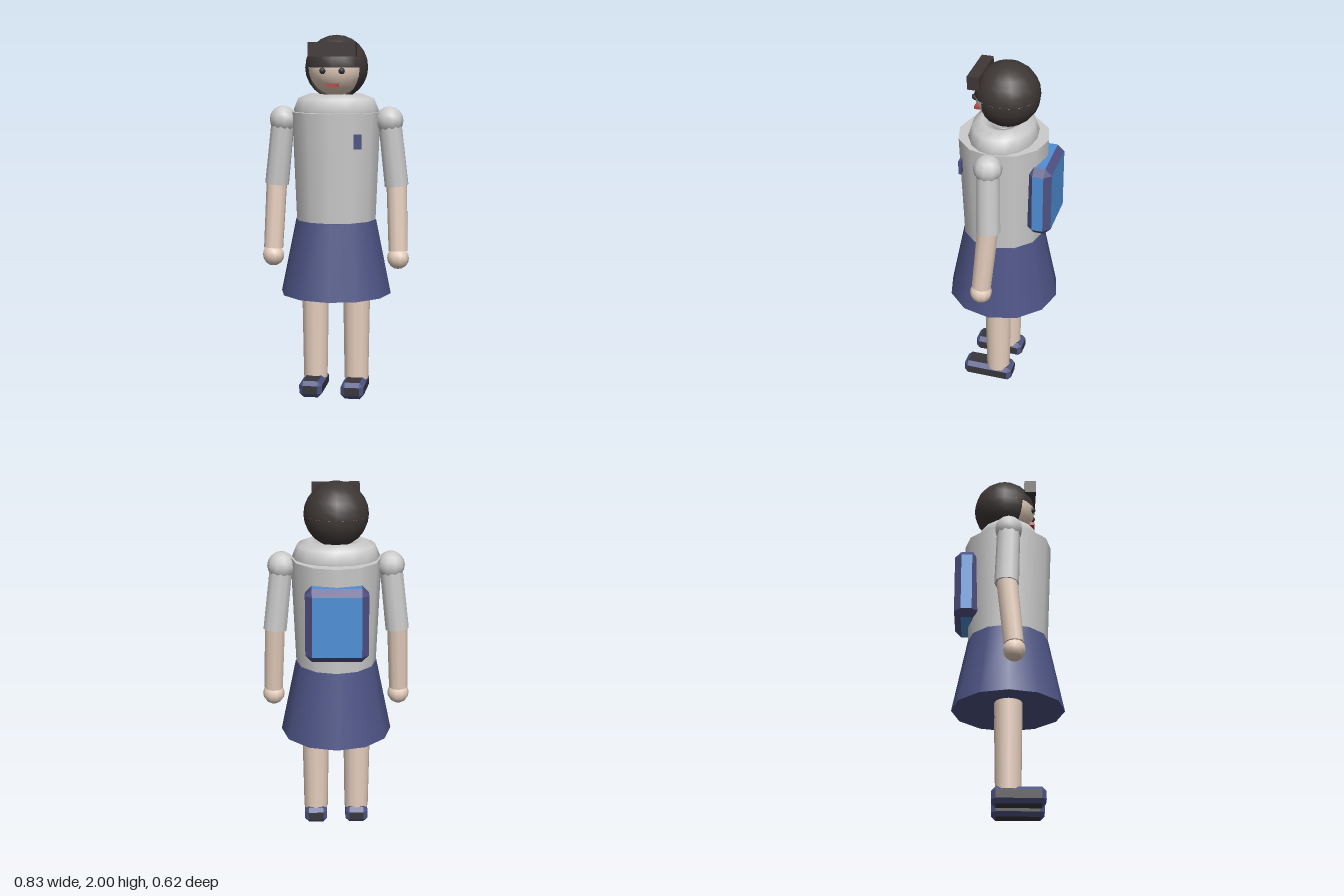
import * as THREE from 'three';
import { ConvexGeometry } from 'three/addons/geometries/ConvexGeometry.js';

const mat = (color, extra = {}) => new THREE.MeshStandardMaterial({ color, ...extra });
const grey = mat(0xcccccc), skin = mat(0xe6cfbe), navy = mat(0x4d5485), blue = mat(0x4f8fd6);
const trim = mat(0x4f5183), dark = mat(0x38363b), red = mat(0xb84848);
const hairMat = mat(0x3d3735, { side: THREE.DoubleSide });

function add(parent, name, geometry, material, x = 0, y = 0, z = 0) {
  const mesh = new THREE.Mesh(geometry, material);
  mesh.name = name;
  mesh.position.set(x, y, z);
  parent.add(mesh);
  return mesh;
}

// Tapered limb from point a (radius ra) to point b (radius rb)
function limb(parent, name, a, b, ra, rb, material, sides = 10) {
  const from = new THREE.Vector3(...a), to = new THREE.Vector3(...b);
  const axis = from.clone().sub(to);
  const mesh = add(parent, name, new THREE.CylinderGeometry(ra, rb, axis.length(), sides), material);
  mesh.position.copy(from).add(to).multiplyScalar(0.5);
  mesh.quaternion.setFromUnitVectors(new THREE.Vector3(0, 1, 0), axis.normalize());
}

// Box with chamfered edges: flat panels in one material, chamfers in another
function chamferBox(parent, name, size, c, panelMat, edgeMat, pos) {
  const points = [];
  const half = size.map(s => s / 2);
  for (const sx of [-1, 1]) for (const sy of [-1, 1]) for (const sz of [-1, 1]) {
    for (let outer = 0; outer < 3; outer++) {
      const p = [sx, sy, sz].map((s, i) => s * (half[i] - (i === outer ? 0 : c)));
      points.push(new THREE.Vector3(...p));
    }
  }
  const hull = new ConvexGeometry(points);
  const position = hull.attributes.position, normal = hull.attributes.normal;
  const panels = [], edges = [];
  for (let i = 0; i < position.count; i += 3) {
    const n = [normal.getX(i), normal.getY(i), normal.getZ(i)].map(Math.abs);
    const target = Math.max(...n) > 0.98 ? panels : edges;
    for (let k = i; k < i + 3; k++) target.push(position.getX(k), position.getY(k), position.getZ(k));
  }
  const group = new THREE.Group();
  group.name = name;
  group.position.set(...pos);
  parent.add(group);
  for (const [label, list, material] of [['Panels', panels, panelMat], ['Edges', edges, edgeMat]]) {
    const g = new THREE.BufferGeometry();
    g.setAttribute('position', new THREE.Float32BufferAttribute(list, 3));
    g.computeVertexNormals();
    add(group, name + label, g, material);
  }
}

export function createModel() {
  const model = new THREE.Group();
  model.name = 'schoolGirl';

  // Clothing
  add(model, 'skirt', new THREE.CylinderGeometry(0.225, 0.31, 0.415, 12), navy, 0, 0.777, 0);
  add(model, 'torso', new THREE.CylinderGeometry(0.247, 0.222, 0.595, 12), grey, 0, 1.283, 0);
  const collarGeo = new THREE.TorusGeometry(0.148, 0.09, 8, 16).rotateX(Math.PI / 2).scale(1, 1, 0.78);
  add(model, 'collar', collarGeo, grey, 0, 1.59, 0);
  add(model, 'badge', new THREE.BoxGeometry(0.042, 0.08, 0.015), navy, 0.147, 1.43, 0.197);
  chamferBox(model, 'backpack', [0.34, 0.41, 0.135], 0.037, blue, trim, [0, 1.277, -0.233]);

  // Head and face
  const head = new THREE.Group();
  head.name = 'head';
  model.add(head);
  add(head, 'face', new THREE.SphereGeometry(0.154, 16, 12), skin, 0, 1.824, 0);
  add(head, 'mouth', new THREE.BoxGeometry(0.064, 0.018, 0.03), red, 0, 1.73, 0.14);

  // Hair: full cap above, lower half open around the face
  const opening = 0.95;
  const cap = new THREE.SphereGeometry(0.175, 16, 6, 0, Math.PI * 2, 0, Math.PI / 2);
  const back = new THREE.SphereGeometry(0.175, 14, 6, Math.PI / 2 + opening, 2 * (Math.PI - opening), Math.PI / 2, Math.PI / 2);
  add(head, 'hairCap', cap, hairMat, 0, 1.825, -0.02);
  add(head, 'hairBack', back, hairMat, 0, 1.825, -0.02);
  add(head, 'fringe', new THREE.BoxGeometry(0.26, 0.075, 0.065), mat(0x403636), 0, 1.922, 0.128);

  for (const s of [-1, 1]) {
    const side = s > 0 ? 'left' : 'right';
    add(head, side + 'Eye', new THREE.SphereGeometry(0.018, 8, 6), dark, s * 0.052, 1.807, 0.142);

    // Arm
    const arm = new THREE.Group();
    arm.name = side + 'Arm';
    model.add(arm);
    add(arm, 'shoulder', new THREE.SphereGeometry(0.077, 10, 8), grey, s * 0.297, 1.535, 0);
    limb(arm, 'sleeve', [s * 0.297, 1.54, 0], [s * 0.337, 1.175, -0.012], 0.064, 0.067, grey);
    limb(arm, 'forearm', [s * 0.337, 1.21, -0.012], [s * 0.352, 0.815, 0.025], 0.058, 0.054, skin);
    add(arm, 'hand', new THREE.SphereGeometry(0.061, 10, 8), skin, s * 0.352, 0.775, 0.028);

    // Leg and shoe
    const leg = new THREE.Group();
    leg.name = side + 'Leg';
    model.add(leg);
    limb(leg, 'shin', [s * 0.117, 0.62, 0], [s * 0.117, 0.075, 0], 0.077, 0.068, skin, 12);
    chamferBox(leg, 'shoe', [0.128, 0.092, 0.285], 0.023, dark, navy, [s * 0.117, 0.046, 0.054]);
  }
  return model;
}
